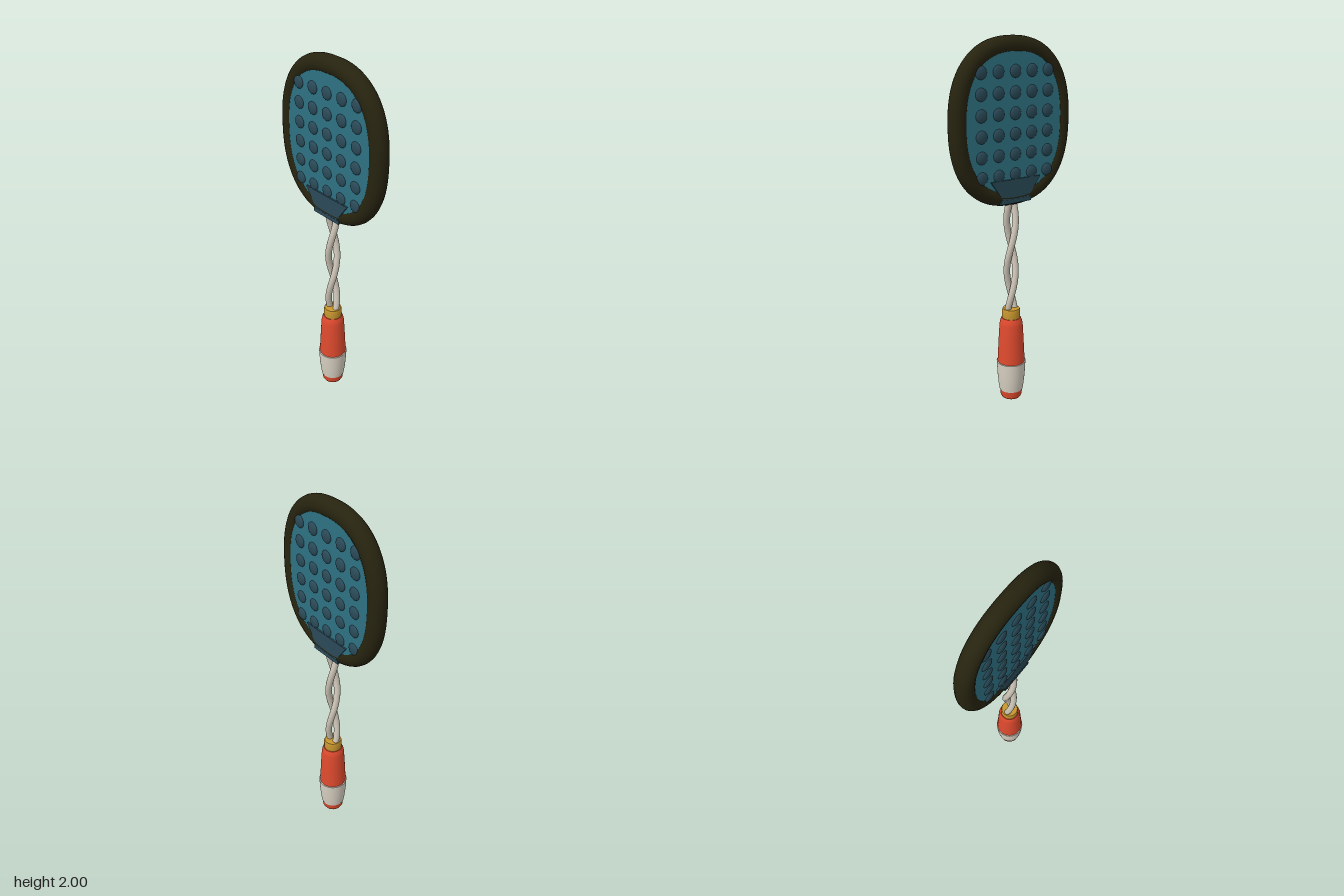
import * as THREE from 'three';

const mat = (name, color) => {
  const m = new THREE.MeshStandardMaterial({ color });
  m.name = name;
  return m;
};

const CY = 1.5725; // height of the head's centre

// Rounded-oval outline of the head
function oval(a, b, n = 2.4, count = 72) {
  const pts = [];
  for (let i = 0; i < count; i++) {
    const t = (i / count) * Math.PI * 2;
    const c = Math.cos(t), s = Math.sin(t);
    pts.push(new THREE.Vector2(
      a * Math.sign(c) * Math.abs(c) ** (2 / n),
      CY + b * Math.sign(s) * Math.abs(s) ** (2 / n)));
  }
  return pts;
}

// Flat slab centred on z = 0
function slab(points, half) {
  const g = new THREE.ExtrudeGeometry(new THREE.Shape(points), { depth: half * 2, bevelEnabled: false });
  return g.translate(0, 0, -half);
}

const lathe = (profile) =>
  new THREE.LatheGeometry(profile.map(([r, y]) => new THREE.Vector2(r, y)), 40);

export function createModel() {
  const root = new THREE.Group();
  root.name = 'paddle';

  const rimMat = mat('dark olive', 0x26230f);
  const faceMat = mat('teal', 0x2e7283);
  const studMat = mat('dark slate blue', 0x2a4a58);
  const wireMat = mat('warm grey', 0xcdc4b6);
  const goldMat = mat('gold', 0xc8962e);
  const gripMat = mat('orange red', 0xdf4a2e);
  const bandMat = mat('off white', 0xd9d1c3);

  const add = (name, geometry, material, parent = root) => {
    const m = new THREE.Mesh(geometry, material);
    m.name = name;
    parent.add(m);
    return m;
  };

  // Head: padded rim around a flat face
  const rimPath = new THREE.CatmullRomCurve3(
    oval(0.318, 0.3805).map((p) => new THREE.Vector3(p.x, p.y, 0)), true);
  add('rim', new THREE.TubeGeometry(rimPath, 144, 0.047, 20, true), rimMat);
  add('facePlate', slab(oval(0.318, 0.3805), 0.038), faceMat);

  // Grid of domed studs on both faces
  const studs = new THREE.Group();
  studs.name = 'studs';
  root.add(studs);
  const studGeo = new THREE.SphereGeometry(0.033, 20, 12).scale(1, 1, 0.36);
  for (const side of [1, -1])
    for (let row = 0; row < 6; row++)
      for (let col = -2; col <= 2; col++)
        add('stud', studGeo, studMat, studs)
          .position.set(col * 0.102, 1.315 + row * 0.103, side * 0.038);

  // Tapered throat and clamp where the wires enter the head
  const v = (x, y) => new THREE.Vector2(x, y);
  add('throat', slab([v(-0.08, 1.185), v(0.08, 1.185), v(0.155, 1.29), v(-0.155, 1.29)], 0.0465), studMat);
  add('clamp', new THREE.BoxGeometry(0.19, 0.022, 0.095).translate(0, 1.175, 0), studMat);

  // Shaft: two wires twisted around each other
  for (const side of [1, -1]) {
    const pts = [];
    for (let i = 0; i <= 40; i++) {
      const y = 0.5 + (i / 40) * 0.68;
      const a = (Math.PI * (y - 0.545)) / 0.285;
      pts.push(new THREE.Vector3(-side * 0.023 * Math.cos(a), y, side * 0.023 * Math.sin(a)));
    }
    add('twistedWire', new THREE.TubeGeometry(new THREE.CatmullRomCurve3(pts), 100, 0.018, 14), wireMat);
  }

  // Handle: ferrule, grip, wide band and end cap
  add('ferrule', lathe([[0, 0.5], [0.048, 0.5], [0.048, 0.5], [0.05, 0.51], [0.05, 0.545],
    [0.046, 0.557], [0.046, 0.557], [0, 0.559]]), goldMat);
  add('grip', lathe([[0.076, 0.23], [0.074, 0.28], [0.069, 0.38], [0.064, 0.465], [0.06, 0.485],
    [0.052, 0.503], [0.052, 0.503], [0, 0.503]]), gripMat);
  add('band', lathe([[0, 0.065], [0.066, 0.065], [0.066, 0.065], [0.071, 0.1], [0.076, 0.15],
    [0.079, 0.2], [0.081, 0.238], [0.081, 0.238], [0.07, 0.241]]), bandMat);
  add('endCap', lathe([[0, 0], [0.03, 0.007], [0.053, 0.017], [0.06, 0.03], [0.063, 0.07]]), gripMat);

  return root;
}
